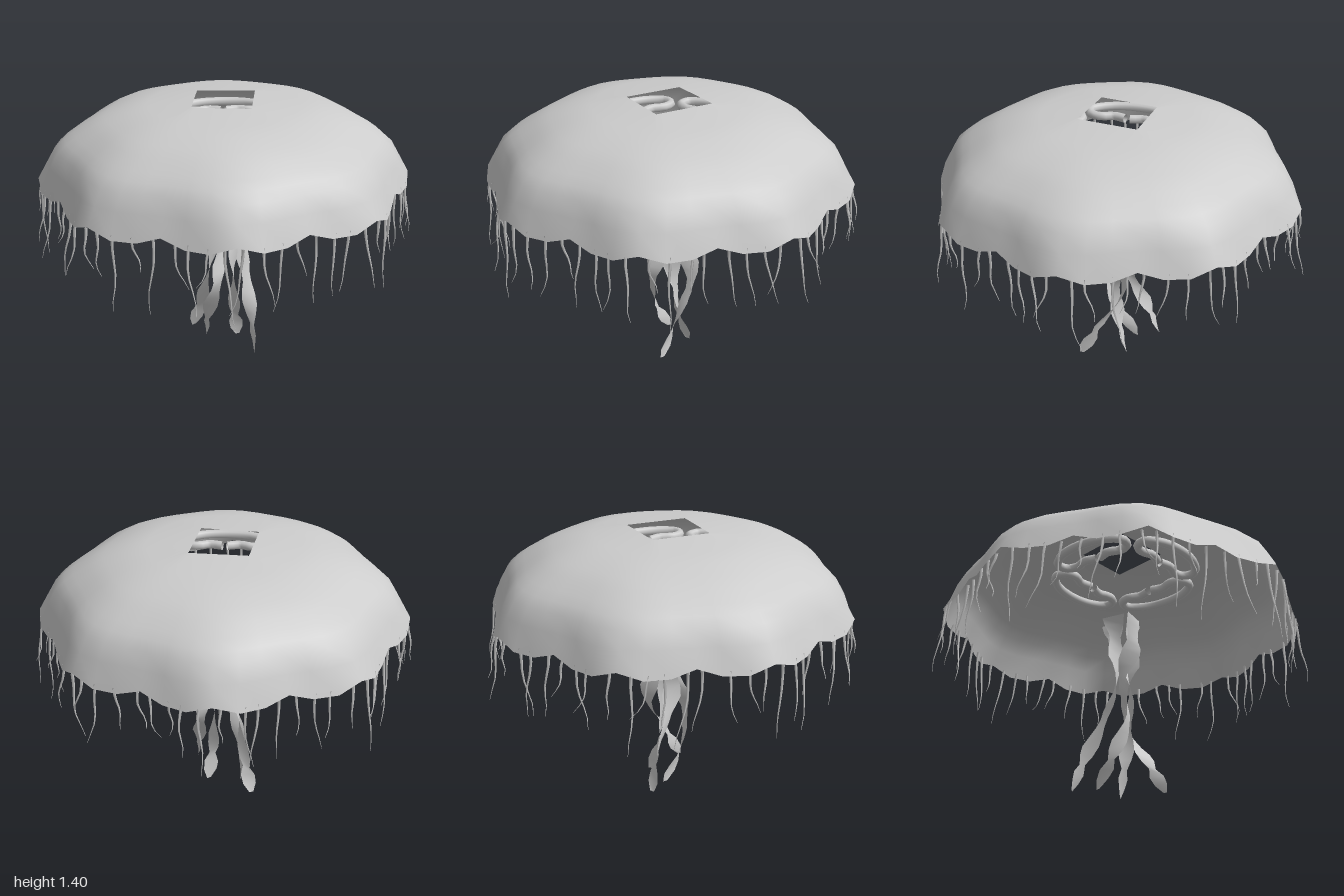
import * as THREE from 'three';

const V = (x, y, z) => new THREE.Vector3(x, y, z);

// Skin a surface over rows of equally many points
function skin(rows, closed) {
  const n = rows[0].length;
  const pos = [];
  const idx = [];
  rows.forEach((row) => row.forEach((p) => pos.push(p.x, p.y, p.z)));
  for (let i = 0; i < rows.length - 1; i++) {
    for (let j = 0; j < (closed ? n : n - 1); j++) {
      const k = (j + 1) % n;
      const a = i * n + j, b = i * n + k, c = a + n, d = b + n;
      idx.push(a, b, c, b, d, c);
    }
  }
  const g = new THREE.BufferGeometry();
  g.setAttribute('position', new THREE.Float32BufferAttribute(pos, 3));
  g.setIndex(idx);
  g.computeVertexNormals();
  return g;
}

// Small seeded random generator
function seeded(seed) {
  let s = seed;
  return () => {
    s = (s * 16807) % 2147483647;
    return s / 2147483647;
  };
}

// Rim radius with eight soft lobes
const rimRadius = (t) => 0.942 + 0.033 * Math.cos(8 * t);

// Bell: rings from the four-cornered top opening to the scalloped rim
function bellGeometry() {
  const segs = 48;
  const corners = [[0.23, 0], [-0.03, 0.2], [-0.22, -0.04], [0.03, -0.23]];
  const profile = [[0.4, 1.39], [0.51, 1.367], [0.62, 1.335], [0.7, 1.297], [0.78, 1.25], [0.83, 1.215], [0.88, 1.17], [0.925, 1.09]];
  const rows = [[]];
  for (let j = 0; j < segs; j++) {
    const q = Math.floor(j / 12), f = (j % 12) / 12;
    const a = corners[q], b = corners[(q + 1) % 4];
    rows[0].push(V(a[0] + (b[0] - a[0]) * f, 1.408, a[1] + (b[1] - a[1]) * f));
  }
  for (const [r, y] of [...profile, [0.975, 1]]) {
    const row = [];
    const rim = y === 1;
    for (let j = 0; j < segs; j++) {
      const t = (j / segs) * Math.PI * 2;
      const lobe = 1 + (rimRadius(t) / 0.975 - 1) * (r / 0.975) ** 2;
      const drop = rim && j % 3 !== 0 ? 0.04 : 0;
      row.push(V(Math.cos(t) * r * lobe, y - drop, Math.sin(t) * r * lobe - 0.01));
    }
    rows.push(row);
  }
  return skin(rows, true);
}

// Horseshoe organ: outer arc with ends curling in towards the middle
function organGeometry() {
  const half = [[0.4, 0], [0.4, 20], [0.38, 36], [0.32, 40], [0.27, 32], [0.265, 18], [0.235, 3]];
  const pts = [];
  const add = ([r, deg], s) => {
    const t = (deg * s * Math.PI) / 180;
    pts.push(V(r * Math.cos(t), 1.28, r * Math.sin(t)));
  };
  half.slice(1).reverse().forEach((p) => add(p, -1));
  half.forEach((p) => add(p, 1));
  return new THREE.TubeGeometry(new THREE.CatmullRomCurve3(pts), 36, 0.024, 8, false);
}

// Oral arm: twisting ribbon with narrow necks and a leaf-shaped tip
function armGeometry(points, phase, turns) {
  const curve = new THREE.CatmullRomCurve3(points.map((p) => V(...p)));
  const n = 20;
  const rows = [];
  for (let i = 0; i <= n; i++) {
    const t = i / n;
    const c = curve.getPoint(t);
    const a = phase + turns * t * Math.PI * 2;
    let w = (0.066 - 0.03 * t) * (0.72 + 0.28 * Math.cos(t * Math.PI * 8));
    if (t > 0.84) w = 0.012 + 0.028 * Math.sin(((t - 0.84) / 0.16) * Math.PI);
    const side = V(Math.cos(a) * w, 0.12 * w * Math.sin(i * 2.3), Math.sin(a) * w);
    rows.push([c.clone().sub(side), c.clone().add(side)]);
  }
  return skin(rows, false);
}

// Fringe tentacle: thin, bent, tapering strand hung from the rim
function strandGeometry(t, rand) {
  const len = 0.17 + 0.25 * rand() ** 1.3;
  const r0 = rimRadius(t) - 0.015;
  const spread = (rand() - 0.35) * 0.09;
  const drift = (rand() - 0.5) * 0.16;
  const bend = rand() * 6.28;
  const n = 6;
  const rows = [];
  for (let i = 0; i <= n; i++) {
    const s = i / n;
    const r = r0 + spread * s + 0.012 * Math.sin(bend + s * 7) * s;
    const a = t + drift * s * s + 0.016 * Math.sin(bend + s * 6) * s;
    const c = V(Math.cos(a) * r, 0.985 - len * s, Math.sin(a) * r - 0.01);
    const w = 0.008 * (1 - s) + 0.0012;
    const row = [];
    for (let k = 0; k < 3; k++) {
      const b = t - (k * Math.PI * 2) / 3;
      row.push(V(c.x + Math.cos(b) * w, c.y, c.z + Math.sin(b) * w));
    }
    rows.push(row);
  }
  return skin(rows, true);
}

export function createModel() {
  const model = new THREE.Group();
  model.name = 'jellyfish';
  const grey = new THREE.MeshStandardMaterial({ color: 0xcccccc, side: THREE.DoubleSide });
  grey.name = 'pale grey';

  const add = (geometry, name, parent = model) => {
    const mesh = new THREE.Mesh(geometry, grey);
    mesh.name = name;
    parent.add(mesh);
    return mesh;
  };
  const group = (name) => {
    const g = new THREE.Group();
    g.name = name;
    model.add(g);
    return g;
  };

  add(bellGeometry(), 'bell');

  // Four organs under the opening
  const organs = group('organs');
  const organ = organGeometry();
  for (let i = 0; i < 4; i++) {
    add(organ, 'organ', organs).rotation.y = Math.PI / 4 + (i * Math.PI) / 2;
  }

  // Four arms hanging from the centre
  const arms = group('oralArms');
  const paths = [
    [[0.06, 0.99, 0.05], [0.07, 0.8, 0.04], [0.1, 0.6, 0.01], [0.13, 0.4, 0.03], [0.06, 0.2, 0.13], [0, 0.01, 0.21]],
    [[0.05, 0.99, -0.06], [0.05, 0.8, -0.04], [0.02, 0.6, 0.03], [0.04, 0.4, 0.02], [0.06, 0.2, 0.01], [0.11, 0.01, -0.01]],
    [[-0.06, 0.99, 0.04], [-0.05, 0.8, 0.03], [-0.03, 0.6, -0.02], [-0.08, 0.4, 0.01], [-0.08, 0.2, -0.06], [-0.01, 0.01, -0.14]],
    [[-0.05, 0.99, -0.07], [-0.02, 0.8, -0.05], [-0.03, 0.6, -0.05], [-0.02, 0.4, -0.11], [0.02, 0.2, -0.2], [0.03, 0.01, -0.27]],
  ];
  paths.forEach((p, i) => add(armGeometry(p, 0.6 + i * 1.57, i % 2 ? -0.8 : 0.8), 'oralArm', arms));

  // Fringe of strands around the rim
  const fringe = group('fringe');
  const rand = seeded(4217);
  const count = 64;
  for (let i = 0; i < count; i++) {
    const t = ((i + 0.5 + (rand() - 0.5) * 0.5) / count) * Math.PI * 2;
    add(strandGeometry(t, rand), 'strand', fringe);
  }
  return model;
}
